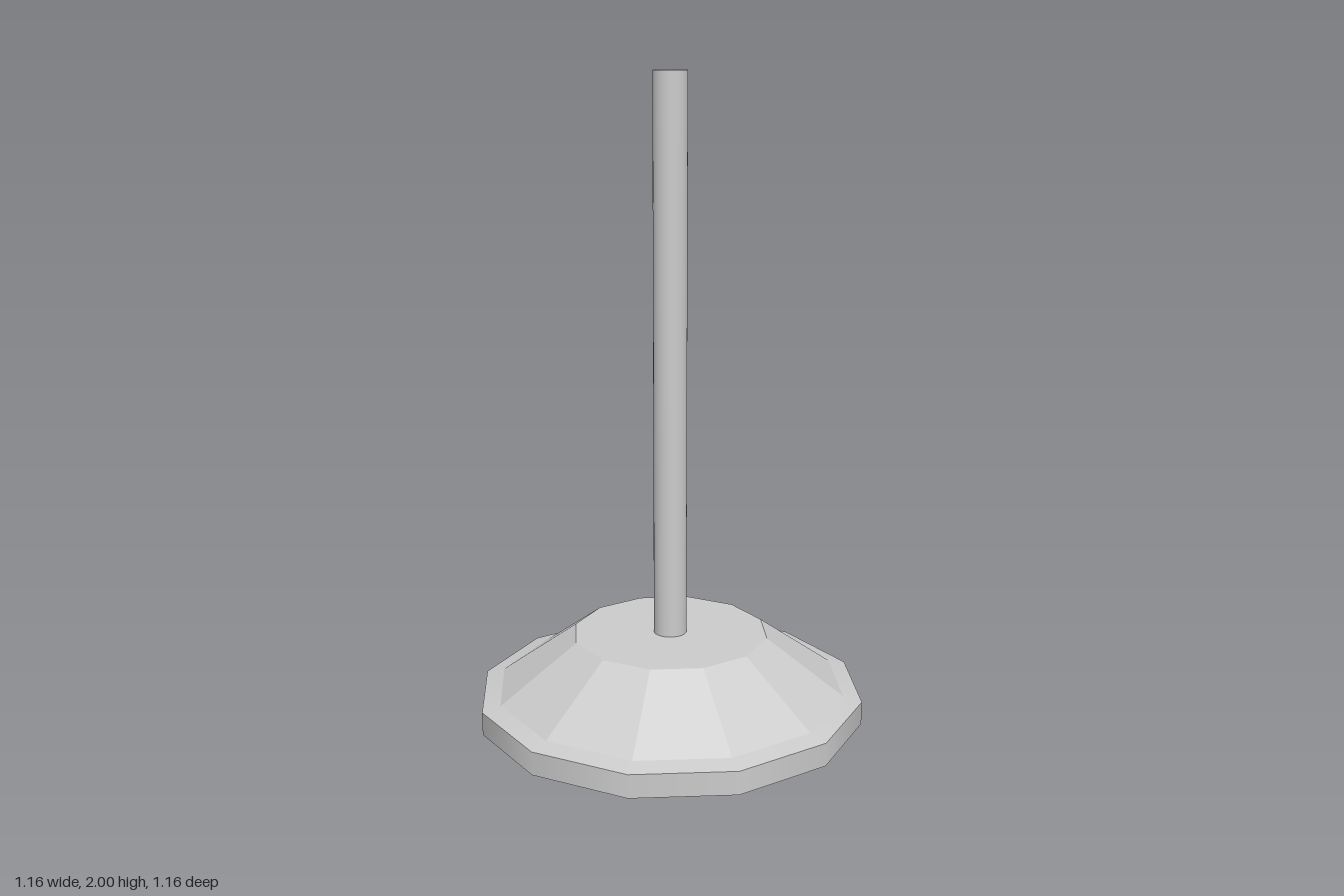
import * as THREE from 'three';

export function createModel() {
  const group = new THREE.Group();
  const smooth = new THREE.MeshStandardMaterial({ color: 0xcccccc });
  const flat = new THREE.MeshStandardMaterial({ color: 0xcccccc, flatShading: true });

  const add = (name, geometry, material, y = 0) => {
    const mesh = new THREE.Mesh(geometry, material);
    mesh.name = name;
    mesh.position.y = y;
    group.add(mesh);
  };

  // One smooth twelve-sided band; separate bands keep the edges between them sharp
  const addBand = (name, r0, y0, r1, y1) =>
    add(name, new THREE.LatheGeometry([new THREE.Vector2(r0, y0), new THREE.Vector2(r1, y1)], 12), smooth);

  // Sloped twelve-sided upper base with a flat top
  add('baseCone', new THREE.CylinderGeometry(0.293, 0.525, 0.167, 12), flat, 0.2715);

  // Rim: shallow upper bevel, upright side, lower bevel
  addBand('rimUpperBevel', 0.58, 0.175, 0.525, 0.188);
  addBand('rimSide', 0.58, 0.105, 0.58, 0.175);
  addBand('rimLowerBevel', 0.535, 0.086, 0.58, 0.105);

  // Underside, gently hollowed towards the middle
  addBand('baseUnderside', 0.1, 0.172, 0.535, 0.086);

  // Ball foot, a half ball set into the hollow
  add('ballFoot', new THREE.SphereGeometry(0.163, 32, 16), flat, 0.163);

  // Upright pole
  add('pole', new THREE.CylinderGeometry(0.049, 0.049, 1.7, 32), smooth, 1.15);

  return group;
}
